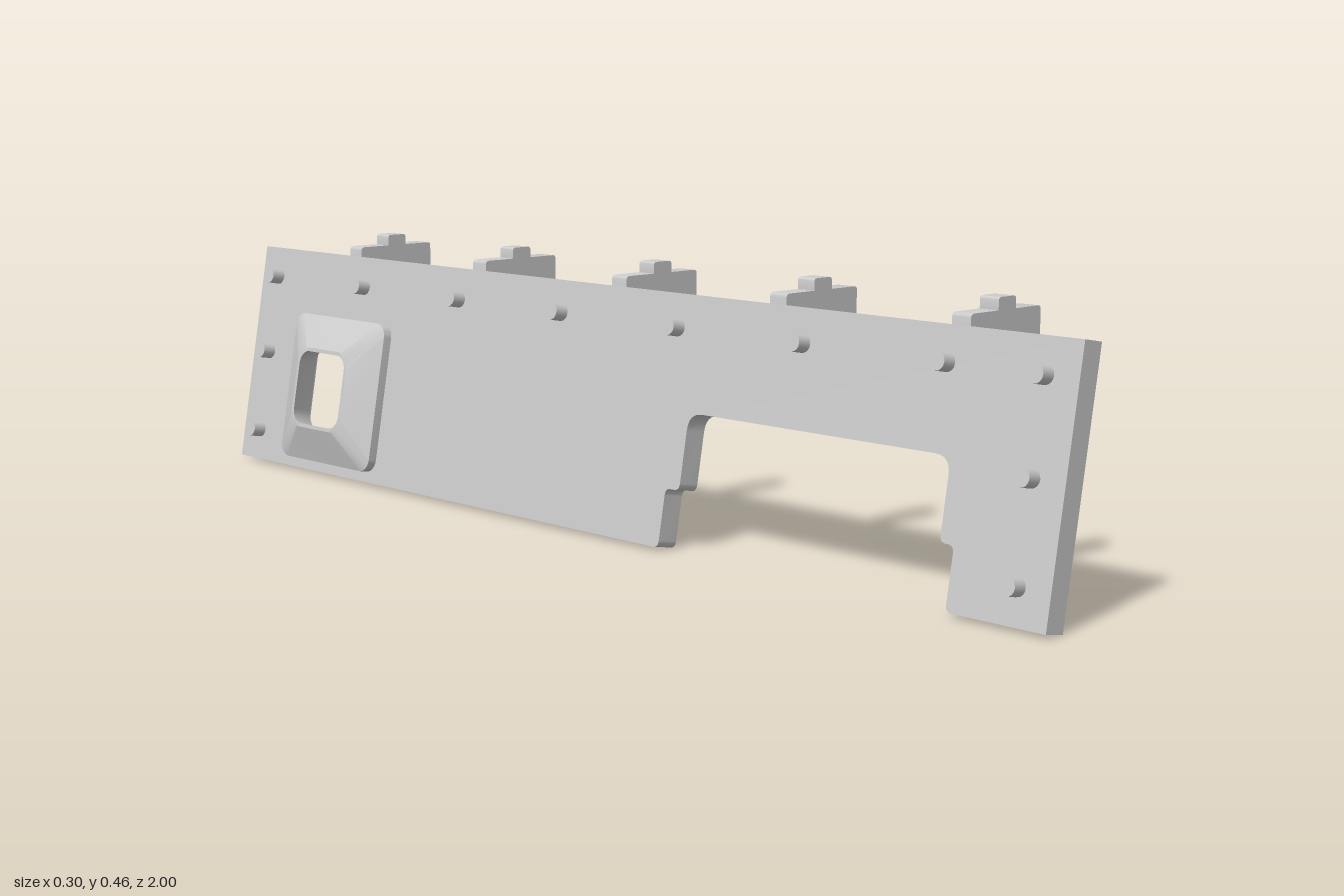
import * as THREE from 'three';
import { toCreasedNormals } from 'three/addons/utils/BufferGeometryUtils.js';

const material = new THREE.MeshStandardMaterial({ color: 0xcccccc });
const TILT = THREE.MathUtils.degToRad(10);
const THICK = 0.041;

function addMesh(parent, name, geometry) {
  const mesh = new THREE.Mesh(geometry, material);
  mesh.name = name;
  parent.add(mesh);
  return mesh;
}

// Closed outline from [x, y, cornerRadius] points
function roundedOutline(points, Type = THREE.Shape) {
  const path = new Type();
  const n = points.length;
  points.forEach(([x, y, r = 0], i) => {
    const p = new THREE.Vector2(x, y);
    const toward = ([a, b]) => new THREE.Vector2(a, b).sub(p).setLength(r).add(p);
    const start = toward(points[(i + n - 1) % n]);
    const end = toward(points[(i + 1) % n]);
    if (i === 0) path.moveTo(start.x, start.y);
    else path.lineTo(start.x, start.y);
    if (r > 0) path.quadraticCurveTo(x, y, end.x, end.y);
  });
  path.closePath();
  return path;
}

function extrude(shape, depth) {
  const g = new THREE.ExtrudeGeometry(shape, { depth, bevelEnabled: false, curveSegments: 6 });
  return toCreasedNormals(g, 0.5);
}

// Counter-clockwise rounded rectangle at height w
function ring({ hx, hy, r, w }, seg = 6) {
  const pts = [];
  [[1, 1], [-1, 1], [-1, -1], [1, -1]].forEach(([sx, sy], corner) => {
    for (let i = 0; i <= seg; i++) {
      const a = (corner + i / seg) * Math.PI / 2;
      pts.push([sx * (hx - r) + r * Math.cos(a), sy * (hy - r) + r * Math.sin(a), w]);
    }
  });
  return pts;
}

// Skin joining successive rings
function loft(sections) {
  const rings = sections.map((s) => ring(s));
  const pos = [];
  for (let k = 0; k < rings.length - 1; k++) {
    const a = rings[k], b = rings[k + 1], n = a.length;
    for (let i = 0; i < n; i++) {
      const j = (i + 1) % n;
      pos.push(...a[i], ...b[i], ...b[j], ...a[i], ...b[j], ...a[j]);
    }
  }
  const g = new THREE.BufferGeometry();
  g.setAttribute('position', new THREE.Float32BufferAttribute(pos, 3));
  return toCreasedNormals(g, 0.4);
}

export function createModel() {
  const model = new THREE.Group();
  model.name = 'slottedPanel';

  // Leaning frame: local x runs along world z, y up the slope, z out of the back
  const leaning = new THREE.Group();
  leaning.name = 'leaningPanel';
  leaning.matrix.makeBasis(
    new THREE.Vector3(0, 0, 1),
    new THREE.Vector3(Math.sin(TILT), Math.cos(TILT), 0),
    new THREE.Vector3(-Math.cos(TILT), Math.sin(TILT), 0)
  );
  leaning.matrix.decompose(leaning.position, leaning.quaternion, leaning.scale);
  leaning.position.set(-0.075, 0, 0);
  model.add(leaning);

  // Panel with a stepped cutout below and a window opening
  const outline = roundedOutline([
    [-1, 0], [0.208, 0, 0.012], [0.208, 0.1, 0.012], [0.24, 0.1, 0.012], [0.24, 0.23, 0.03],
    [0.79, 0.23, 0.03], [0.79, 0.1, 0.012], [0.817, 0.1, 0.012], [0.817, 0, 0.012],
    [1, 0], [1, 0.424], [-1, 0.424],
  ]);
  const cx = -0.706, cy = 0.161, hx = 0.136, hy = 0.12;
  outline.holes.push(roundedOutline([
    [cx - hx, cy - hy, 0.02], [cx - hx, cy + hy, 0.02],
    [cx + hx, cy + hy, 0.02], [cx + hx, cy - hy, 0.02],
  ], THREE.Path));
  addMesh(leaning, 'panel', extrude(outline, THICK));

  // Window housing: recess floor, tapered tunnel, rim and sloping outer sides
  const housing = addMesh(leaning, 'windowHousing', loft([
    { hx: 0.138, hy: 0.122, r: 0.018, w: 0.04 },
    { hx: 0.085, hy: 0.083, r: 0.035, w: 0.04 },
    { hx: 0.071, hy: 0.07, r: 0.026, w: 0.09 },
    { hx: 0.078, hy: 0.077, r: 0.03, w: 0.09 },
    { hx: 0.14, hy: 0.141, r: 0.025, w: 0.058 },
    { hx: 0.14, hy: 0.141, r: 0.025, w: THICK - 0.002 },
  ]));
  housing.position.set(cx, cy, 0);

  // Pegs along the top and down both ends of the back
  const pegGeometry = new THREE.CylinderGeometry(0.015, 0.015, 0.032, 16).rotateX(Math.PI / 2);
  const pegs = [-0.665, -0.38, -0.1, 0.19, 0.47, 0.76].map((x) => [x, 0.367]);
  for (const x of [-0.945, 0.94]) for (const y of [0.059, 0.217, 0.367]) pegs.push([x, y]);
  for (const [x, y] of pegs) {
    addMesh(leaning, 'peg', pegGeometry).position.set(x, y, 0.051);
  }

  // Row of brackets through the top edge, each with a small raised nub
  const width = 0.036;
  const bracketGeometry = extrude(roundedOutline([
    [-0.023, 0.377], [0.147, 0.377], [0.147, 0.44, 0.006], [0.085, 0.44],
    [0.085, 0.46, 0.006], [0.043, 0.46, 0.006], [0.043, 0.44], [-0.023, 0.44, 0.008],
  ]), width);
  for (let i = 0; i < 5; i++) {
    addMesh(model, 'bracket', bracketGeometry).position.z = -0.73 + i * 0.373 - width / 2;
  }
  return model;
}
